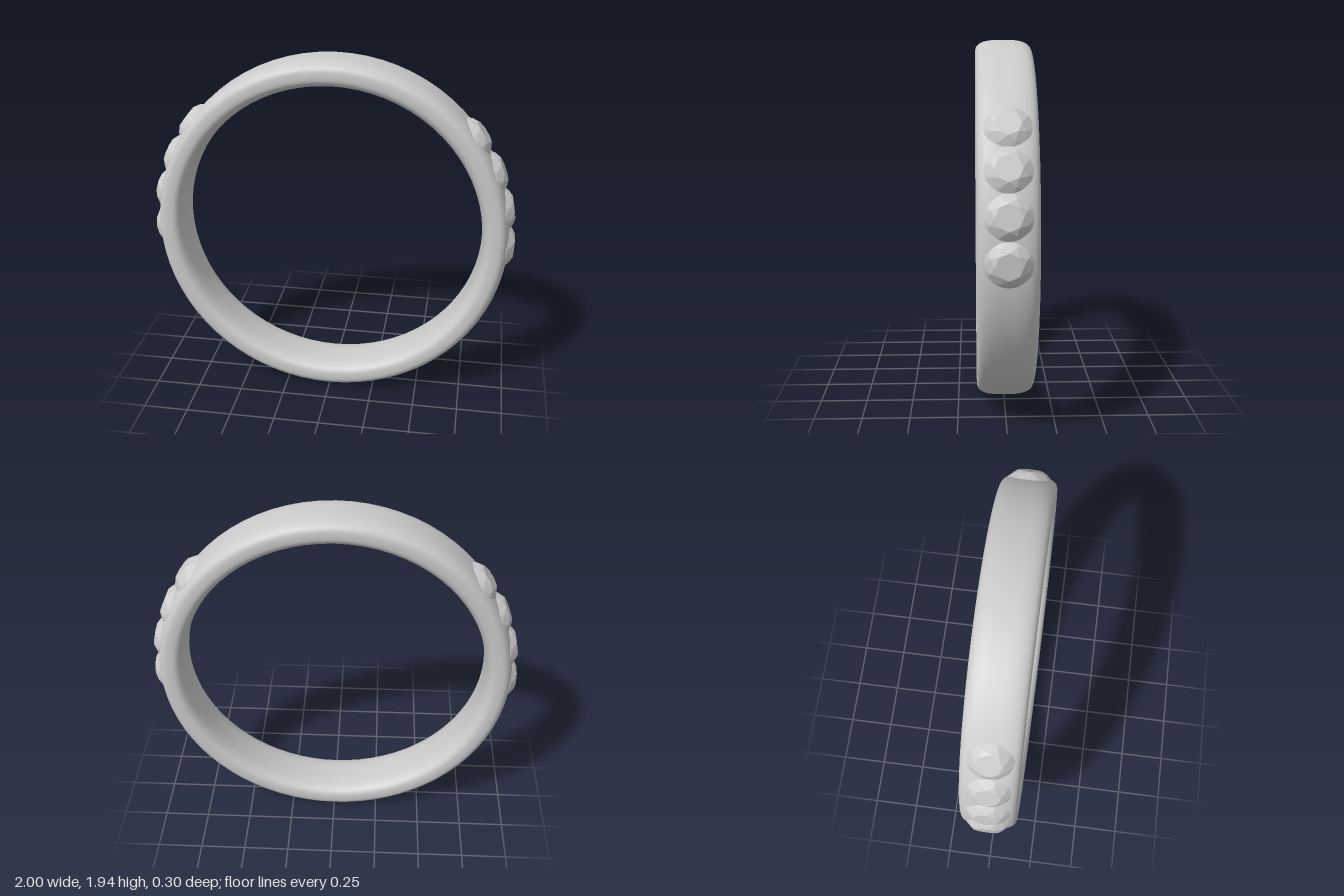
import * as THREE from 'three';
import { ConvexGeometry } from 'three/addons/geometries/ConvexGeometry.js';

const CENTER_Y = 0.97;

// Ring band: a soft rounded-rectangle section swept around the finger axis
function bandGeometry() {
  const midRadius = 0.897, halfThick = 0.073, halfWidth = 0.15, power = 2 / 2.9;
  const soft = (v) => Math.sign(v) * Math.pow(Math.abs(v), power);
  const profile = [];
  const steps = 48;
  for (let i = 0; i <= steps; i++) {
    const t = Math.PI + (i / steps) * Math.PI * 2;
    profile.push(new THREE.Vector2(
      midRadius + halfThick * soft(Math.cos(t)),
      halfWidth * soft(Math.sin(t))
    ));
  }
  return new THREE.LatheGeometry(profile, 72).rotateX(Math.PI / 2);
}

// Brilliant-cut stone, table facing +y, girdle at y = 0
function gemGeometry() {
  const points = [];
  const circle = (count, radius, y, turn = 0) => {
    for (let i = 0; i < count; i++) {
      const a = ((i + turn) / count) * Math.PI * 2;
      points.push(new THREE.Vector3(Math.cos(a) * radius, y, Math.sin(a) * radius));
    }
  };
  circle(8, 0.066, 0.043);        // table
  circle(8, 0.093, 0.026, 0.5);   // crown facets
  circle(32, 0.116, 0.002);       // girdle
  circle(32, 0.116, -0.006);
  circle(8, 0.05, -0.05, 0.5);    // pavilion, set into the band
  return new ConvexGeometry(points);
}

export function createModel() {
  const model = new THREE.Group();
  model.name = 'ring';

  const metal = new THREE.MeshStandardMaterial({ color: 0xcccccc });
  const stone = new THREE.MeshStandardMaterial({ color: 0xcccccc, flatShading: true });

  const band = new THREE.Mesh(bandGeometry(), metal);
  band.name = 'band';
  band.position.y = CENTER_Y;
  model.add(band);

  // Four stones climbing each shoulder
  const gem = gemGeometry();
  const girdleRadius = 0.956;
  for (const side of [1, -1]) {
    const row = new THREE.Group();
    row.name = side > 0 ? 'leftStones' : 'rightStones';
    row.position.y = CENTER_Y;
    for (let i = 0; i < 4; i++) {
      const angle = THREE.MathUtils.degToRad(-2.5 + i * 13.1);
      const mesh = new THREE.Mesh(gem, stone);
      mesh.name = `stone${i + 1}`;
      mesh.position.set(side * Math.cos(angle) * girdleRadius, Math.sin(angle) * girdleRadius, 0);
      mesh.rotation.z = side * (angle - Math.PI / 2);
      row.add(mesh);
    }
    model.add(row);
  }
  return model;
}
